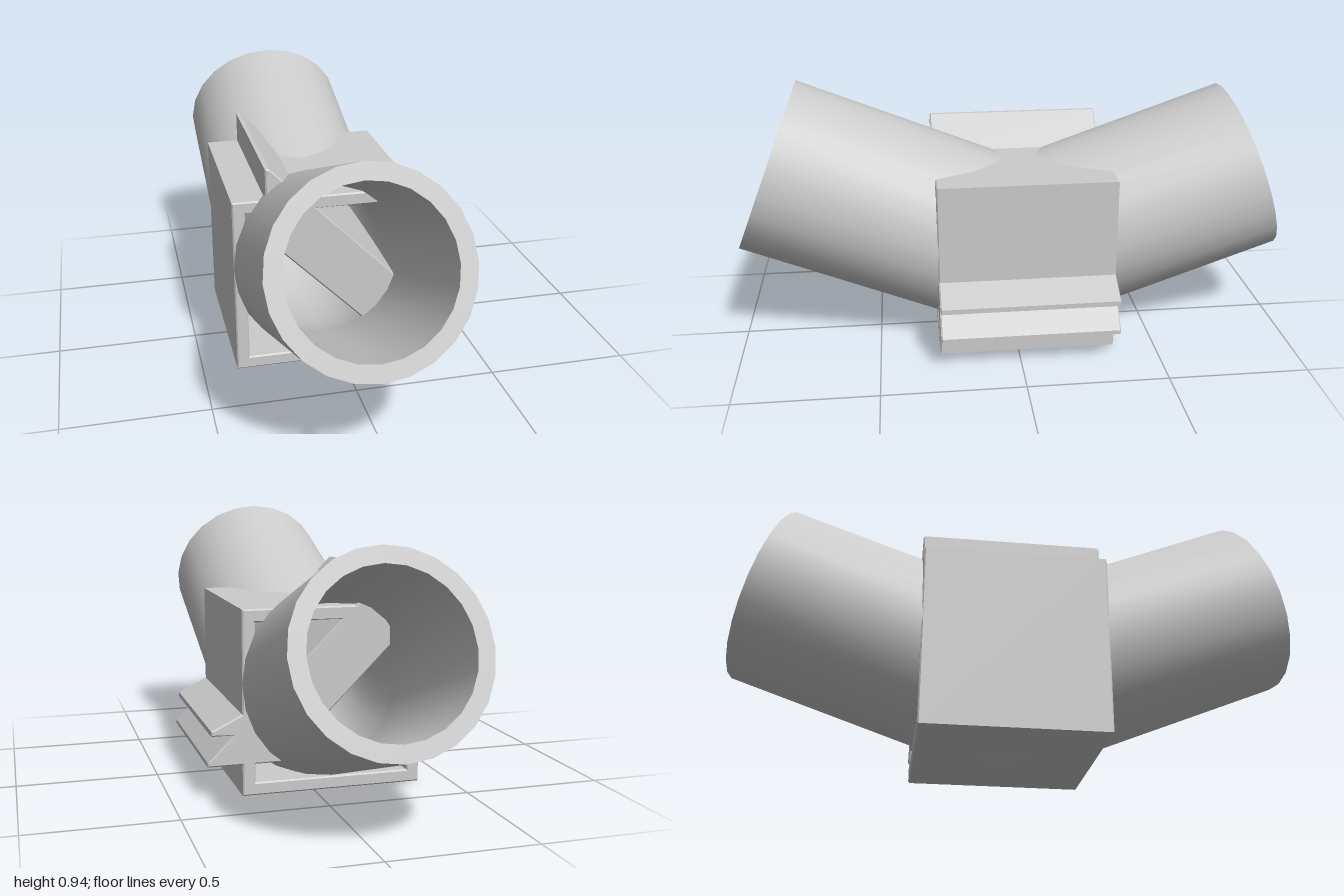
import * as THREE from 'three';

const SIDES = 24;
const CENTRE_X = -0.06;
const OUTER = 0.32, INNER = 0.264;

// Skin a list of closed rings, each an array of Vector3
function loft(rings, flip) {
  const positions = [], index = [];
  rings.forEach(ring => ring.forEach(p => positions.push(p.x, p.y, p.z)));
  for (let i = 0; i < rings.length - 1; i++) {
    for (let j = 0; j < SIDES; j++) {
      const k = (j + 1) % SIDES;
      const a = i * SIDES + j, b = i * SIDES + k;
      const c = a + SIDES, d = b + SIDES;
      if (flip) index.push(a, c, b, b, c, d);
      else index.push(a, b, c, b, d, c);
    }
  }
  const geometry = new THREE.BufferGeometry();
  geometry.setAttribute('position', new THREE.Float32BufferAttribute(positions, 3));
  geometry.setIndex(index);
  geometry.computeVertexNormals();
  return geometry;
}

// Stations along the pipe axis: straight, bend, straight (in the yz plane)
function pipeStations() {
  const front = THREE.MathUtils.degToRad(22.1);
  const rear = THREE.MathUtils.degToRad(-19.1);
  const corner = new THREE.Vector3(CENTRE_X, 0.284, -0.02);
  const bend = 0.56, steps = 10;
  const along = a => new THREE.Vector3(0, Math.sin(a), Math.cos(a));
  const up = a => new THREE.Vector3(0, Math.cos(a), -Math.sin(a));
  const pivot = corner.clone().addScaledVector(up((front + rear) / 2), bend / Math.cos((front - rear) / 2));
  const stations = [{ p: corner.clone().addScaledVector(along(front), 0.972), n: up(front) }];
  for (let i = 0; i <= steps; i++) {
    const a = front + (rear - front) * i / steps;
    stations.push({ p: pivot.clone().addScaledVector(up(a), -bend), n: up(a) });
  }
  stations.push({ p: corner.clone().addScaledVector(along(rear), -0.926), n: up(rear) });
  return stations;
}

function ringAt({ p, n }, radius) {
  return Array.from({ length: SIDES }, (_, j) => {
    const t = j / SIDES * Math.PI * 2;
    const v = p.clone().addScaledVector(n, Math.sin(t) * radius);
    v.x += Math.cos(t) * radius;
    return v;
  });
}

const toPoints = list => list.map(([x, y]) => new THREE.Vector2(x, y));

// Square frame with a diagonal brace and barbed catches, extruded along z
function frameGeometry() {
  const shape = new THREE.Shape(toPoints([
    [-0.38, 0.01], [0.26, 0.01], [0.26, 0.12],
    [0.38, 0.12], [0.38, 0.135], [0.288, 0.225],
    [0.367, 0.225], [0.367, 0.243], [0.26, 0.295],
    [0.26, 0.65], [-0.14, 0.65],
    [-0.25, 0.76], [-0.265, 0.76], [-0.265, 0.65], [-0.38, 0.65],
  ]));
  // lower channel
  shape.holes.push(new THREE.Path(toPoints([
    [-0.335, 0.055], [-0.335, 0.605], [-0.265, 0.605], [-0.265, 0.505],
    [0.12, 0.12], [0.215, 0.12], [0.215, 0.055],
  ])));
  // upper triangular opening
  shape.holes.push(new THREE.Path(toPoints([
    [-0.09, 0.605], [0.215, 0.605], [0.215, 0.3],
  ])));
  const bevel = 0.005;
  const geometry = new THREE.ExtrudeGeometry(shape, {
    depth: 0.635 - 2 * bevel, bevelEnabled: true, bevelSegments: 1,
    bevelSize: bevel, bevelThickness: bevel, bevelOffset: -bevel,
  });
  geometry.translate(0, 0, -0.35 + bevel);
  return geometry;
}

export function createModel() {
  const model = new THREE.Group();
  model.name = 'bentPipeBracket';
  const material = new THREE.MeshStandardMaterial({ color: 0xcccccc });
  const add = (parent, name, geometry) => {
    const mesh = new THREE.Mesh(geometry, material);
    mesh.name = name;
    parent.add(mesh);
  };

  // Bent pipe: outer wall, bore and the two rims
  const pipe = new THREE.Group();
  pipe.name = 'bentPipe';
  model.add(pipe);
  const stations = pipeStations();
  const outer = stations.map(s => ringAt(s, OUTER));
  const inner = stations.map(s => ringAt(s, INNER));
  const last = stations.length - 1;
  add(pipe, 'pipeOuterWall', loft(outer, true));
  add(pipe, 'pipeBore', loft(inner, false));
  add(pipe, 'frontRim', loft([outer[0], inner[0]], false));
  add(pipe, 'rearRim', loft([outer[last], inner[last]], true));

  // Clip frame around the bend
  add(model, 'clipFrame', frameGeometry());
  return model;
}
